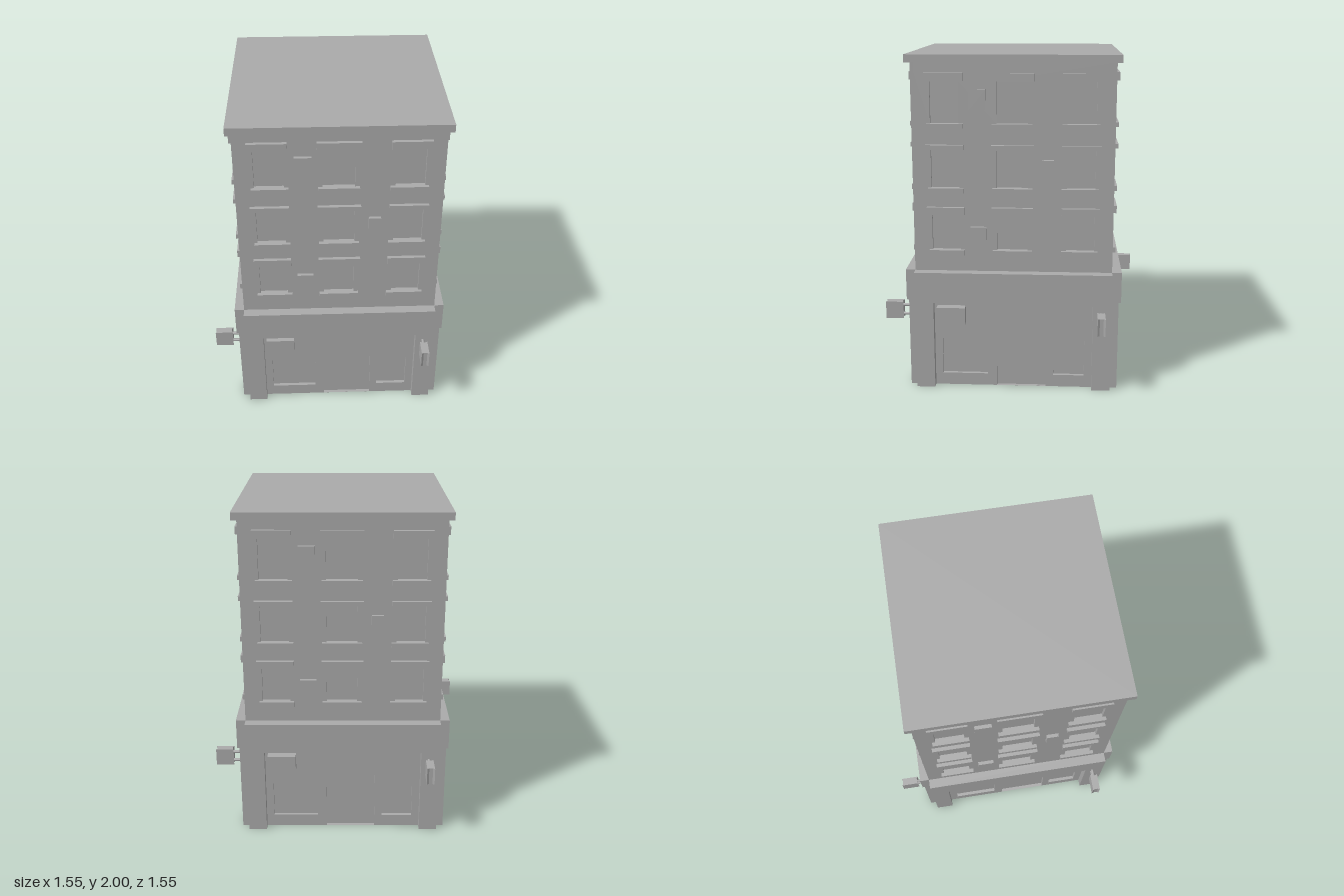
import * as THREE from 'three';

const stone = new THREE.MeshStandardMaterial({ color: 0xaaaaaa, side: THREE.DoubleSide });
stone.name = 'grey stone';

const W = 0.583;      // half width of the main walls
const RECESS = 0.02;  // depth of window and door recesses

function add(parent, name, geometry) {
  const mesh = new THREE.Mesh(geometry, stone);
  mesh.name = name;
  parent.add(mesh);
  return mesh;
}

// Box given by its limits on each axis
function block(parent, name, x0, x1, y0, y1, z0, z1) {
  const mesh = add(parent, name, new THREE.BoxGeometry(x1 - x0, y1 - y0, z1 - z0));
  mesh.position.set((x0 + x1) / 2, (y0 + y1) / 2, (z0 + z1) / 2);
  return mesh;
}

function rectPath(path, x0, x1, y0, y1) {
  path.moveTo(x0, y0);
  path.lineTo(x1, y0);
  path.lineTo(x1, y1);
  path.lineTo(x0, y1);
  path.closePath();
  return path;
}

// Wall slab with recessed openings, each closed by a thin pane
function wall(parent, name, y0, y1, openings) {
  const shape = rectPath(new THREE.Shape(), -W, W, y0, y1);
  for (const o of openings) shape.holes.push(rectPath(new THREE.Path(), ...o.rect));
  const slab = add(parent, name, new THREE.ExtrudeGeometry(shape, { depth: RECESS, bevelEnabled: false }));
  slab.position.z = W - RECESS;
  for (const o of openings) {
    const [x0, x1, b, t] = o.rect;
    const pane = add(parent, o.name, new THREE.PlaneGeometry(x1 - x0, t - b));
    pane.position.set((x0 + x1) / 2, (b + t) / 2, W - RECESS);
  }
}

// Hanging sign on two rods, with shallow notches in its end faces
function bladeSign(parent) {
  const sign = new THREE.Group();
  sign.name = 'hangingSign';
  const x0 = 0.497, x1 = 0.543, z0 = 0.67, z1 = 0.777, n = 0.006;
  const outline = new THREE.Shape([
    [x0, z0], [x0 + 0.012, z0 + n], [x1 - 0.012, z0 + n], [x1, z0],
    [x1, z1], [x1 - 0.012, z1 - n], [x0 + 0.012, z1 - n], [x0, z1],
  ].map(([x, z]) => new THREE.Vector2(x, -z)));
  const panel = add(sign, 'signPanel', new THREE.ExtrudeGeometry(outline, { depth: 0.105, bevelEnabled: false }));
  panel.rotation.x = -Math.PI / 2;
  panel.position.y = 0.408;
  for (const y of [0.432, 0.488]) {
    const rod = add(sign, 'signRod', new THREE.CylinderGeometry(0.009, 0.009, 0.1, 8));
    rod.rotation.x = Math.PI / 2;
    rod.position.set(0.521, y, 0.63);
  }
  parent.add(sign);
}

function facade() {
  const g = new THREE.Group();
  g.name = 'facade';

  // Columns: window, lintel and sill limits in x
  const columns = [
    { win: [-0.475, -0.31], lintel: [-0.505, -0.285], sill: [-0.493, -0.285] },
    { win: [-0.095, 0.085], lintel: [-0.125, 0.12], sill: [-0.12, 0.112] },
    { win: [0.31, 0.475], lintel: [0.28, 0.503], sill: [0.28, 0.495] },
  ];
  // Rows: sill bottom, sill top, lintel bottom, lintel top
  const rows = [
    [0.83, 0.862, 1.075, 1.12],
    [1.205, 1.235, 1.46, 1.487],
    [1.583, 1.61, 1.85, 1.897],
  ];

  // Upper storeys
  const windows = [];
  for (const [s0, s1, l0, l1] of rows) {
    for (const c of columns) {
      windows.push({ name: 'window', rect: [...c.win, s1, l0] });
      block(g, 'lintel', ...c.lintel, l0, l1, W - 0.01, W + 0.022);
      block(g, 'windowSill', ...c.sill, s0, s1, W - 0.01, W + 0.022);
    }
  }
  wall(g, 'upperWall', 0.55, 1.96, windows);

  // Projecting stone blocks
  for (const [x0, x1, y0, y1] of [
    [-0.25, -0.155, 1.69, 1.807],
    [0.165, 0.235, 1.285, 1.403],
    [-0.25, -0.155, 0.923, 1.003],
  ]) block(g, 'wallBlock', x0, x1, y0, y1, W - 0.01, W + 0.02);

  // Shop front
  wall(g, 'shopWall', 0, 0.55, [
    { name: 'shopWindow', rect: [-0.428, -0.155, 0.075, 0.3] },
    { name: 'shopWindow', rect: [0.243, 0.428, 0.075, 0.3] },
    { name: 'door', rect: [-0.1, 0.197, 0.0005, 0.36] },
  ]);
  for (const s of [-1, 1]) {
    block(g, 'cornerPillar', Math.min(s * 0.474, s * W), Math.max(s * 0.474, s * W), 0, 0.55, W - 0.01, 0.627);
  }
  block(g, 'ledge', -W, W, 0.545, 0.732, W - 0.01, 0.641);
  block(g, 'wallSign', -0.455, -0.285, 0.41, 0.513, W - 0.01, 0.634);
  bladeSign(g);
  return g;
}

export function createModel() {
  const model = new THREE.Group();
  model.name = 'cornerBuilding';
  // The same facade on all four sides
  for (let i = 0; i < 4; i++) {
    const side = facade();
    side.rotation.y = i * Math.PI / 2;
    model.add(side);
  }
  block(model, 'roof', -0.612, 0.612, 1.955, 2, -0.612, 0.612);
  for (const part of model.children) {
    part.position.x -= 0.003;
    part.position.z -= 0.003;
  }
  return model;
}
